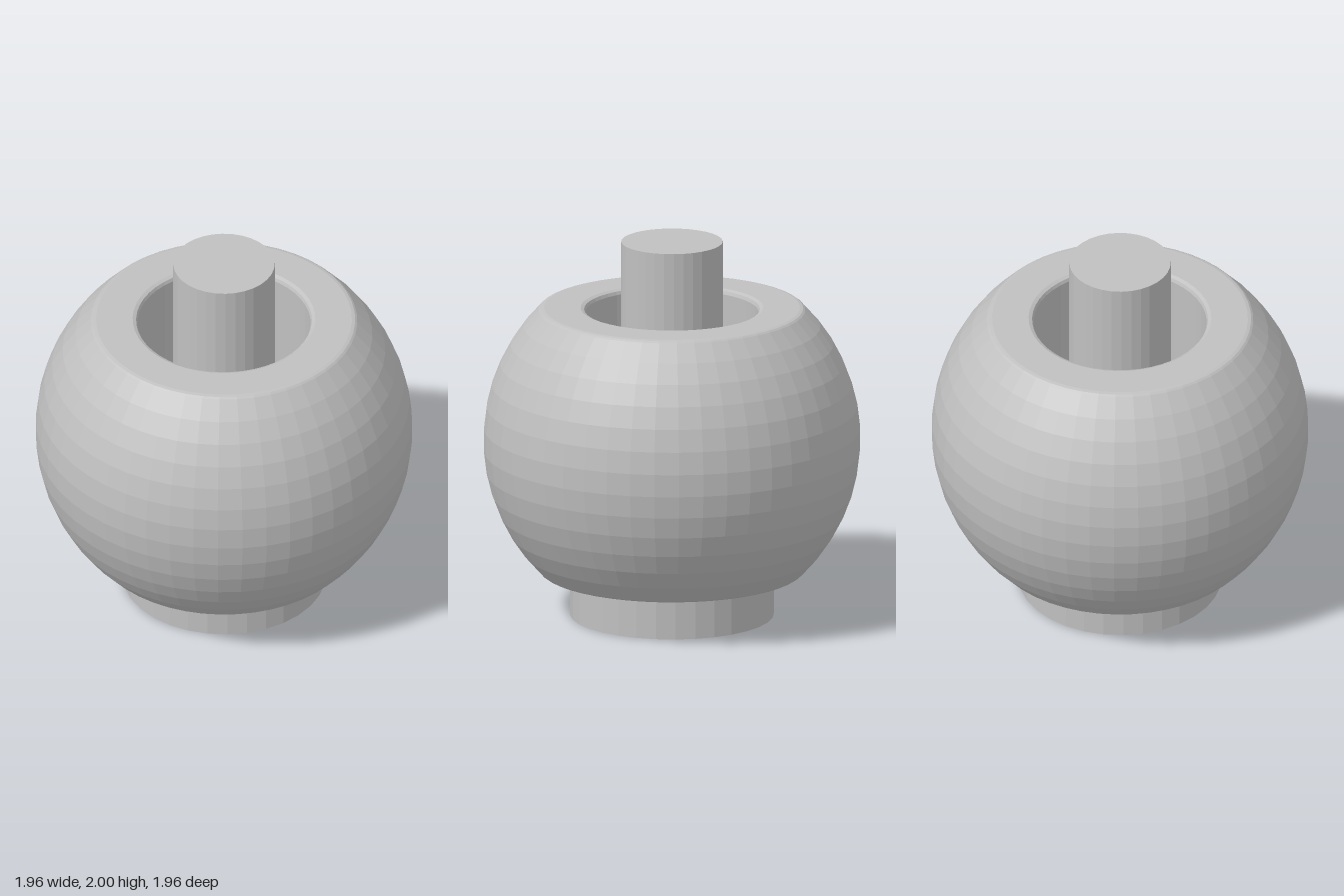
import * as THREE from 'three';

export function createModel() {
  const group = new THREE.Group();
  const grey = new THREE.MeshStandardMaterial({ color: 0xc0c0c0, flatShading: true });
  grey.name = 'plain grey';

  const add = (name, geometry, y) => {
    const mesh = new THREE.Mesh(geometry, grey);
    mesh.name = name;
    mesh.position.y = y;
    group.add(mesh);
  };

  // Truncated ball with a straight bore and softened rims, symmetric about its equator
  const radius = 0.98, half = 0.705, bore = 0.45, rows = 13;
  const rim = [[bore, half - 0.025], [bore + 0.007, half - 0.008], [bore + 0.025, half],
    [0.665, half], [0.682, half - 0.004]];
  const profile = rim.map(([r, y]) => new THREE.Vector2(r, -y));
  for (let i = 0; i <= rows; i++) {
    const a = (i / rows - 0.5) * Math.PI / 2;
    profile.push(new THREE.Vector2(radius * Math.cos(a), radius * Math.sin(a)));
  }
  rim.slice().reverse().forEach(([r, y]) => profile.push(new THREE.Vector2(r, y)));
  profile.push(profile[0].clone());
  add('boredBall', new THREE.LatheGeometry(profile, 48), 0.94);

  // Wide foot closing the bore from below
  add('baseCollar', new THREE.CylinderGeometry(0.53, 0.53, 0.235, 32), 0.1175);

  // Slim post rising from the foot through the bore
  add('centrePost', new THREE.CylinderGeometry(0.264, 0.264, 1.77, 32), 1.115);

  return group;
}
